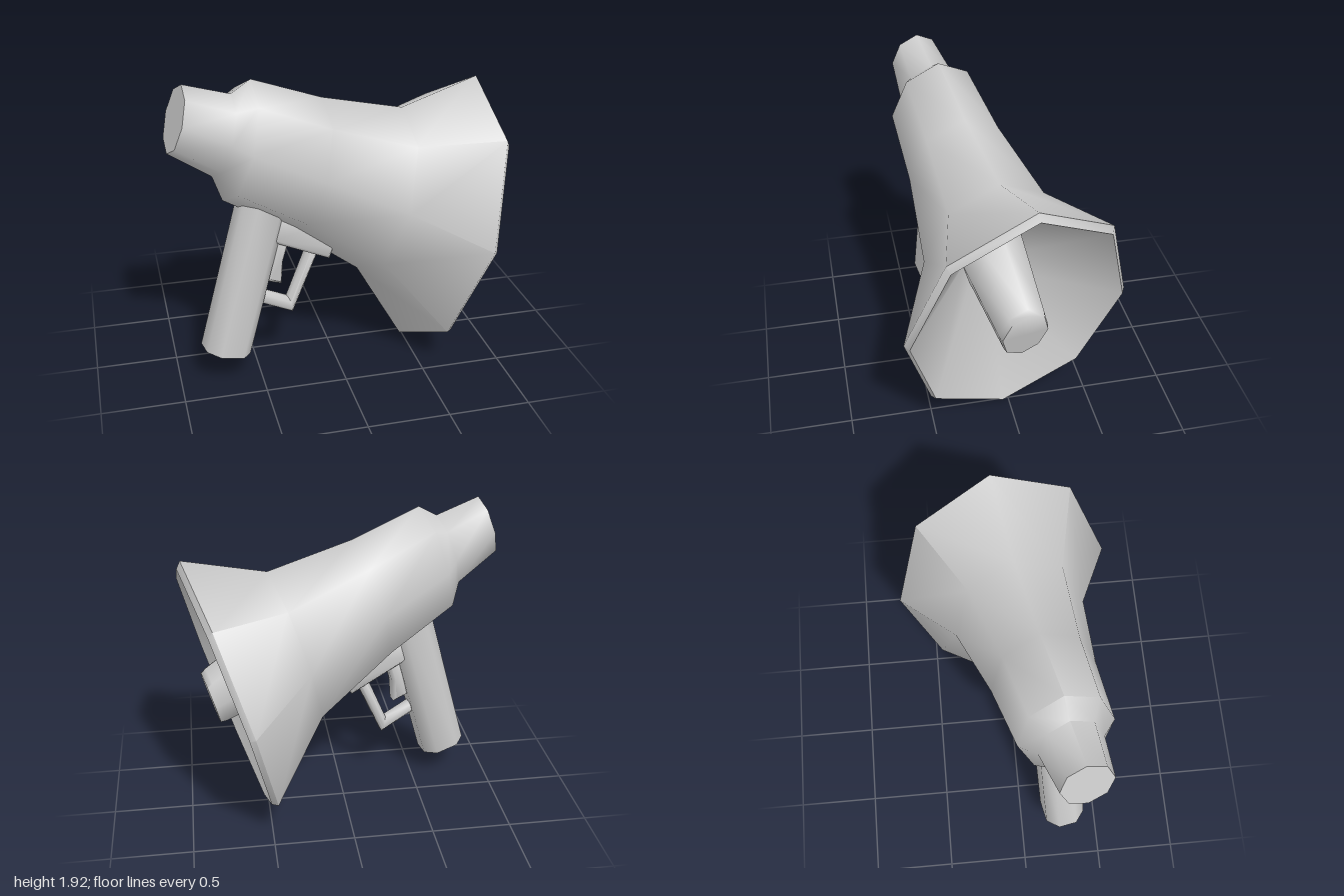
import * as THREE from 'three';
import { toCreasedNormals } from 'three/addons/utils/BufferGeometryUtils.js';

const ASPECT = 1.297; // octagonal sections are taller than wide
const DROP = -0.2;    // the horn's centre line sinks toward the mouth

export function createModel() {
  const model = new THREE.Group();
  model.name = 'megaphone';
  const material = new THREE.MeshStandardMaterial({ color: 0xcccccc });

  // Tilted frame: x runs toward the mouth, y up along the grip, z sideways
  const body = new THREE.Group();
  body.name = 'body';
  const along = new THREE.Vector3(0.9465, -0.27, -0.179).normalize();
  const up = new THREE.Vector3(0.265, 0.963, -0.051);
  up.addScaledVector(along, -up.dot(along)).normalize();
  const side = new THREE.Vector3().crossVectors(along, up);
  body.quaternion.setFromRotationMatrix(new THREE.Matrix4().makeBasis(along, up, side));
  body.position.set(0.725, 0.872, 0);
  model.add(body);

  const add = (name, geometry, crease) => {
    const mesh = new THREE.Mesh(toCreasedNormals(geometry, crease), material);
    mesh.name = name;
    body.add(mesh);
    return mesh;
  };

  // Eight-sided turned part from [position, radius] pairs, sheared along the centre line
  const turned = (name, profile) => {
    const g = new THREE.LatheGeometry(profile.map(([s, r]) => new THREE.Vector2(r, s)), 8);
    g.applyMatrix4(new THREE.Matrix4().set(
      0, 1, 0, 0,
      0, DROP, 1, 0,
      1 / ASPECT, 0, 0, 0,
      0, 0, 0, 1));
    return add(name, g, 1.15);
  };

  // Flat outline extruded sideways with softened edges
  const slab = (name, points, width, bevel) => {
    const shape = new THREE.Shape(points.map(([x, y]) => new THREE.Vector2(x, y)));
    const g = new THREE.ExtrudeGeometry(shape, {
      depth: width - 2 * bevel, bevelEnabled: true, bevelSize: bevel,
      bevelOffset: -bevel, bevelThickness: bevel, bevelSegments: 1,
    });
    g.translate(0, 0, bevel - width / 2);
    return add(name, g, 0.9);
  };

  // Mouthpiece, barrel, flared bell, rim and bell interior
  turned('horn', [
    [-1.87, 0], [-1.87, 0.201], [-1.575, 0.248], [-1.478, 0.367], [-1.014, 0.417],
    [-0.463, 0.5385], [0, 0.898], [0.035, 0.865], [-0.38, 0.26], [-0.38, 0],
  ]);

  // Tapered driver inside the bell
  turned('driver', [[-0.4, 0.264], [0.09, 0.198], [0.125, 0.185], [0.125, 0]]);

  // Bevelled pistol grip
  const a = 0.144, b = 0.128, c = 0.07;
  const section = [[a, c - b], [a, b - c], [a - c, b], [c - a, b],
    [-a, b - c], [-a, c - b], [c - a, -b], [a - c, -b]];
  const grip = new THREE.ExtrudeGeometry(
    new THREE.Shape(section.map(([x, y]) => new THREE.Vector2(x, y))),
    { depth: 1.14, bevelEnabled: false });
  grip.rotateX(Math.PI / 2);
  grip.translate(-1.228, 0.1, 0);
  add('grip', grip, 0.9);

  // Block under the barrel that carries the trigger
  slab('triggerMount', [[-1.15, -0.28], [-0.72, -0.362], [-0.715, -0.28], [-0.8, -0.1], [-1.15, -0.1]], 0.18, 0.02);

  // Curved trigger
  slab('trigger', [[-1.1, -0.25], [-1.1, -0.42], [-1.085, -0.555], [-0.981, -0.566],
    [-1.01, -0.417], [-1.005, -0.25]], 0.1, 0.02);

  // Bent trigger guard
  slab('triggerGuard', [[-0.855, -0.3], [-0.902, -0.665], [-1.12, -0.62], [-1.12, -0.7],
    [-0.848, -0.758], [-0.778, -0.3]], 0.08, 0.02);

  return model;
}
